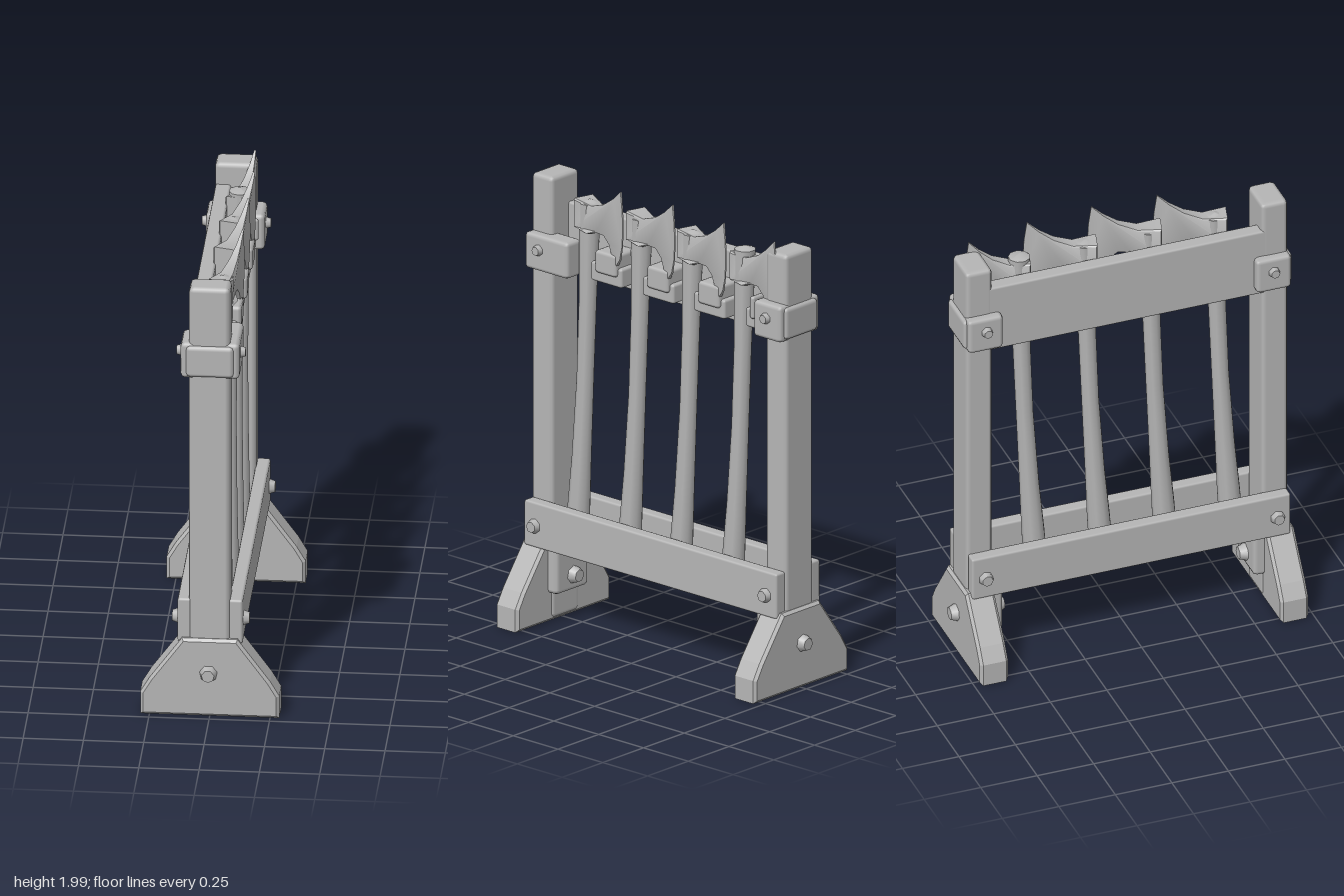
import * as THREE from 'three';
import { RoundedBoxGeometry } from 'three/addons/geometries/RoundedBoxGeometry.js';
import { toCreasedNormals } from 'three/addons/utils/BufferGeometryUtils.js';

export function createModel() {
  const model = new THREE.Group();
  model.name = 'axeRack';
  const grey = new THREE.MeshStandardMaterial({ color: 0xb6b6b6 });
  grey.name = 'plainGrey';

  const add = (name, geometry, parent = model) => {
    const mesh = new THREE.Mesh(geometry, grey);
    mesh.name = name;
    parent.add(mesh);
    return mesh;
  };

  // Worn timber block given by its minimum and maximum corners
  const block = (name, [x0, y0, z0], [x1, y1, z1], r = 0.012) => {
    const g = new RoundedBoxGeometry(x1 - x0, y1 - y0, z1 - z0, 1, r);
    g.translate((x0 + x1) / 2, (y0 + y1) / 2, (z0 + z1) / 2);
    return add(name, g);
  };

  // Domed peg pointing along an axis
  const peg = (name, x, y, z, axis, r = 0.032) => {
    const mesh = add(name, new THREE.CylinderGeometry(r * 0.6, r, 0.05, 7));
    mesh.position.set(x, y, z);
    mesh.quaternion.setFromUnitVectors(new THREE.Vector3(0, 1, 0), axis);
  };

  // Outline extruded through a depth, with a small bevel inside the outline
  const slab = (points, depth, bevel) => {
    const g = new THREE.ExtrudeGeometry(new THREE.Shape(points.map(p => new THREE.Vector2(...p))), {
      depth: depth - 2 * bevel, bevelThickness: bevel, bevelSize: bevel,
      bevelOffset: -bevel, bevelSegments: 1,
    });
    g.translate(0, 0, bevel - depth / 2);
    return g;
  };

  // Posts, feet and end fittings
  for (const s of [1, -1]) {
    const zs = (a, b) => (s > 0 ? [a, b] : [-b, -a]);
    const top = s > 0 ? 1.95 : 1.915;
    const [p0, p1] = zs(0.595, 0.712);
    block('post', [-0.087, 0.02, p0], [0.083, top, p1], 0.02);

    const foot = add('foot', slab([
      [-0.288, 0.01], [0.288, 0.01], [0.288, 0.11], [0.25, 0.175],
      [0.115, 0.36], [-0.115, 0.36], [-0.25, 0.175], [-0.288, 0.11],
    ], 0.125, 0.012));
    foot.position.z = s * 0.664;

    const [b0, b1] = zs(0.553, 0.62);
    block('footBrace', [-0.1, 0.135, b0], [0.1, 0.345, b1], 0.02);
    peg('footPegOuter', -0.005, 0.205, s * 0.732, new THREE.Vector3(0, 0, s), 0.045);
    peg('footPegInner', -0.005, 0.205, s * 0.545, new THREE.Vector3(0, 0, -s), 0.045);

    // Clamps at the upper ends, longer at the front of the axe side
    for (const side of [1, -1]) {
      const [c0, c1] = zs(side > 0 && s > 0 ? 0.475 : 0.56, 0.715);
      const inner = 0.03, outer = 0.122;
      block('upperClamp', [side > 0 ? inner : -outer, 1.54, c0], [side > 0 ? outer : -inner, 1.7, c1], 0.018);
      peg('clampPeg', side * 0.118, 1.635, s * 0.635, new THREE.Vector3(side, 0, 0));
      peg('beamPeg', side * 0.135, 0.43, s * 0.645, new THREE.Vector3(side, 0, 0), 0.04);
    }
    const [e0, e1] = zs(0.66, 0.728);
    block('clampEnd', [-0.1, 1.55, e0], [0.1, 1.69, e1], 0.018);
  }

  // Lower trough holding the handle ends
  block('lowerBeamLeft', [0.078, 0.335, -0.705], [0.135, 0.533, 0.705], 0.01);
  block('lowerBeamRight', [-0.135, 0.335, -0.705], [-0.078, 0.533, 0.705], 0.01);
  block('troughFloor', [-0.1, 0.338, -0.6], [0.1, 0.38, 0.6], 0.008);

  // Tall board behind the axes
  block('backBoard', [-0.085, 1.515, -0.62], [-0.02, 1.82, 0.62], 0.01);

  // Axe handle: gently bowed shaft, leaning along the rack
  const handleGeometry = z => {
    const pts = [[0.05, 0.375], [0.049, 0.5], [0.042, 0.75], [0.037, 1.1], [0.038, 1.45], [0.044, 1.72], [0.046, 1.87], [0.001, 1.885]];
    const g = new THREE.LatheGeometry([[0.001, 0.375], ...pts].map(p => new THREE.Vector2(...p)), 9);
    const pos = g.attributes.position;
    for (let i = 0; i < pos.count; i++) {
      const t = (pos.getY(i) - 0.375) / 1.5;
      pos.setZ(i, pos.getZ(i) + z + 0.072 * (1 - t) - 0.012 * Math.sin(t * Math.PI));
      pos.setX(i, pos.getX(i) + 0.03);
    }
    return toCreasedNormals(g, 0.9);
  };

  // Axe head: flared outline thinned from the eye to the cutting edge
  const headGeometry = () => {
    const g = slab([
      [-0.05, 1.755], [0.05, 1.75], [0.085, 1.765], [0.13, 1.765], [0.165, 1.735], [0.19, 1.675],
      [0.21, 1.652], [0.235, 1.685], [0.25, 1.745], [0.256, 1.82], [0.252, 1.9], [0.24, 1.985],
      [0.19, 1.94], [0.13, 1.9], [0.05, 1.872], [-0.05, 1.882],
    ], 0.1, 0.006);
    const pos = g.attributes.position;
    for (let i = 0; i < pos.count; i++) {
      const d = pos.getX(i);
      const thin = d < 0.05 ? 1 : Math.max(0.06, 0.6 - (d - 0.05) * 2.7);
      pos.setZ(i, pos.getZ(i) * thin);
    }
    g.rotateY(Math.PI / 2);
    return toCreasedNormals(g, 0.6);
  };

  const lift = [0, 0.012, 0, -0.025];
  [0.43, 0.14, -0.145, -0.435].forEach((z, i) => {
    const axe = new THREE.Group();
    axe.name = 'axe' + (i + 1);
    model.add(axe);
    add('axeHandle', handleGeometry(z), axe);
    const head = add('axeHead', headGeometry(), axe);
    head.position.set(0.03, lift[i], z);
    head.rotation.y = i === 3 ? -0.22 : -0.27;
    if (i === 3) head.scale.z = 0.88;

    // Stepped rest beside each handle
    const end = i === 3 ? z - 0.13 : z - 0.225;
    block('restShelf', [-0.03, 1.555, end], [0.085, 1.64, z - 0.05], 0.012);
    block('restPeg', [-0.03, 1.6, end + 0.02], [0.1, 1.7, z - 0.085], 0.015);
  });

  return model;
}
